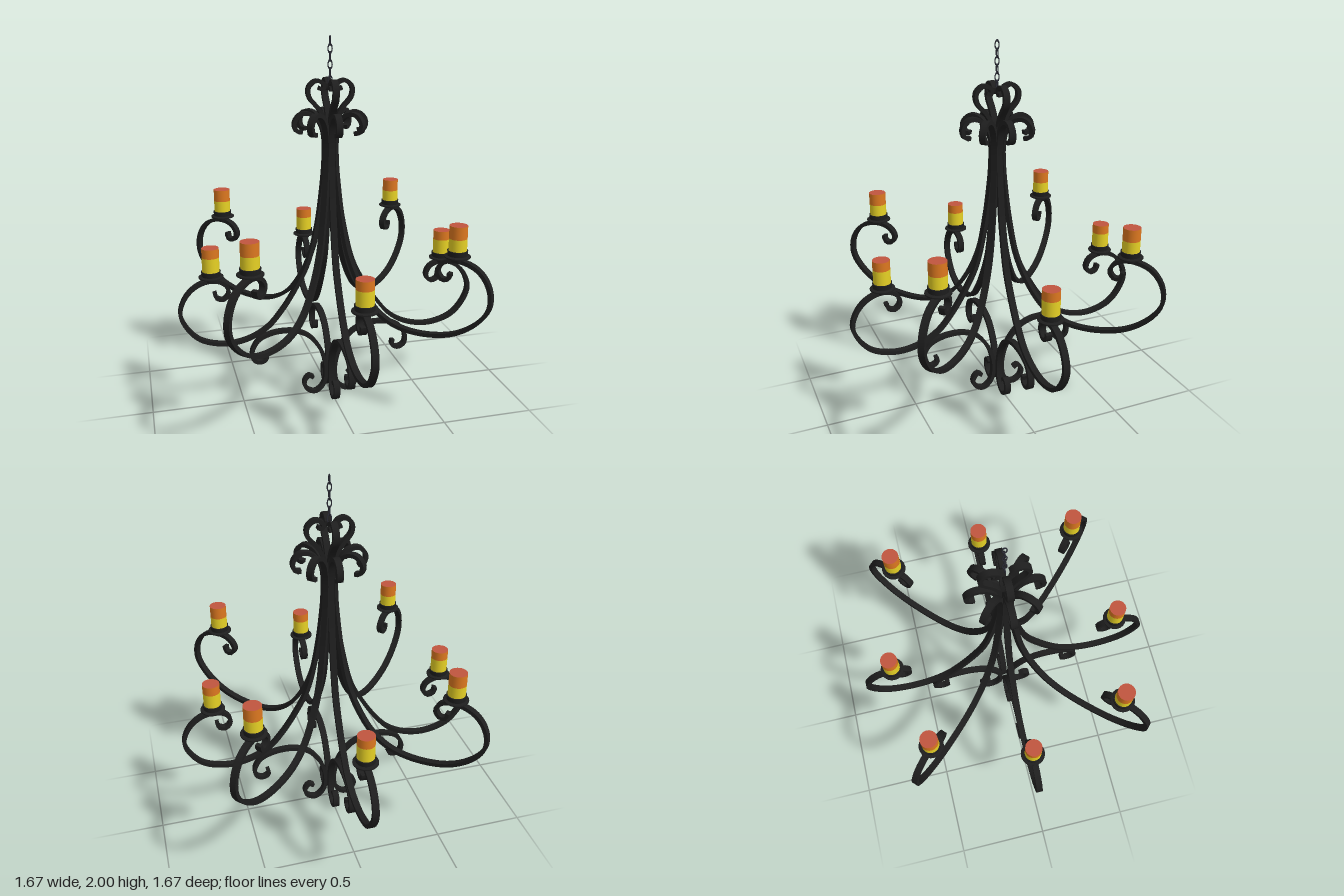
import * as THREE from 'three';
import { toCreasedNormals } from 'three/addons/utils/BufferGeometryUtils.js';

const mat = (name, color) => {
  const m = new THREE.MeshStandardMaterial({ color });
  m.name = name;
  return m;
};

// Profiles as [radius, height] points
const LOWER_ARM = [[.15, 1.51], [.18, 1.515], [.192, 1.56], [.155, 1.604], [.1, 1.598], [.055, 1.55], [.032, 1.47],
  [.03, 1.35], [.043, 1.2], [.075, 1.0], [.127, .79], [.2, .645], [.275, .53], [.355, .44], [.46, .383], [.59, .365],
  [.725, .405], [.8, .49], [.824, .57], [.79, .66], [.725, .717], [.645, .735], [.582, .71], [.563, .66],
  [.592, .625], [.63, .638], [.637, .67]];
const UPPER_ARM = [[.15, 1.51], [.18, 1.515], [.192, 1.56], [.155, 1.604], [.1, 1.598], [.055, 1.55], [.034, 1.47],
  [.034, 1.35], [.045, 1.23], [.07, 1.05], [.11, .86], [.18, .7], [.277, .57], [.39, .503], [.54, .484], [.725, .52],
  [.853, .605], [.915, .7], [.91, .8], [.85, .885], [.745, .92], [.665, .9], [.633, .85], [.66, .81],
  [.695, .818], [.7, .85]];
const HEART = [[.062, 1.735], [.04, 1.727], [.033, 1.752], [.075, 1.772], [.115, 1.74], [.113, 1.69], [.065, 1.63],
  [.032, 1.57], [.021, 1.48], [.02, 1.3]];
const FOOT = [[.1, .1], [.125, .115], [.152, .08], [.14, .036], [.09, .012], [.043, .05], [.026, .13], [.038, .22],
  [.065, .285], [.125, .36], [.2, .397], [.26, .405], [.34, .397], [.41, .365], [.446, .3], [.438, .25],
  [.4, .232], [.367, .25], [.371, .283]];

// Flat iron bar bent along a planar curve
function barGeometry(points, samples, thick = .021, width = .034) {
  const curve = new THREE.CatmullRomCurve3(points.map(([r, y]) => new THREE.Vector3(r, y, 0)));
  const left = [], right = [];
  for (let i = 0; i <= samples; i++) {
    const p = curve.getPointAt(i / samples), t = curve.getTangentAt(i / samples);
    const nx = -t.y * thick / 2, ny = t.x * thick / 2;
    left.push(new THREE.Vector2(p.x + nx, p.y + ny));
    right.unshift(new THREE.Vector2(p.x - nx, p.y - ny));
  }
  const geo = new THREE.ExtrudeGeometry(new THREE.Shape([...left, ...right]), { depth: width, bevelEnabled: false });
  geo.translate(0, 0, -width / 2);
  return toCreasedNormals(geo, .7);
}

export function createModel() {
  const model = new THREE.Group();
  model.name = 'chandelier';
  const iron = mat('blackIron', 0x1e1e1e);
  const chainMetal = mat('chainMetal', 0x2b2c36);
  const yellow = mat('candleYellow', 0xeed826);
  const orange = mat('candleOrange', 0xdd7820);
  const red = mat('candleTopRed', 0xc0553f);

  const add = (parent, name, geo, material, x = 0, y = 0) => {
    const mesh = new THREE.Mesh(geo, material);
    mesh.name = name;
    mesh.position.set(x, y, 0);
    parent.add(mesh);
    return mesh;
  };

  const lowerGeo = barGeometry(LOWER_ARM, 140);
  const upperGeo = barGeometry(UPPER_ARM, 140);
  const heartGeo = barGeometry(HEART, 50);
  const footGeo = barGeometry(FOOT, 80);

  // Drip plate and collar
  const cup = [[0, -.006], [.03, -.004], [.034, .012], [.066, .02], [.066, .026], [.05, .03], [.052, .056], [0, .056]];
  const cupGeo = toCreasedNormals(
    new THREE.LatheGeometry(cup.map(([r, y]) => new THREE.Vector2(r, y)), 24), .6);

  // Two-coloured candle on its cup, top of the arm at height y
  function addCandle(parent, x, y, orangeHeight) {
    const candle = new THREE.Group();
    candle.name = 'candle';
    candle.position.set(x, y, 0);
    parent.add(candle);
    const base = .054, top = .184, split = top - orangeHeight, r = .046;
    add(candle, 'candleCup', cupGeo, iron);
    add(candle, 'candleLower', new THREE.CylinderGeometry(r, r, split - base, 24), yellow, 0, (base + split) / 2);
    add(candle, 'candleUpper', new THREE.CylinderGeometry(r, r, orangeHeight, 24, 1, true), orange, 0, (split + top) / 2);
    add(candle, 'candleTop', new THREE.CircleGeometry(r, 24).rotateX(-Math.PI / 2), red, 0, top);
  }

  // Eight arms, alternating lower and upper; the lower ones share their plane with the scrolls
  for (let i = 0; i < 8; i++) {
    const spoke = new THREE.Group();
    spoke.rotation.y = i * Math.PI / 4;
    model.add(spoke);
    if (i % 2 === 0) {
      spoke.name = 'lowerSpoke';
      add(spoke, 'lowerArm', lowerGeo, iron);
      add(spoke, 'crownScroll', heartGeo, iron);
      add(spoke, 'footScroll', footGeo, iron);
      addCandle(spoke, .652, .735, .05);
    } else {
      spoke.name = 'upperSpoke';
      add(spoke, 'upperArm', upperGeo, iron);
      addCandle(spoke, .735, .92, .066);
    }
  }

  // Hanging chain of alternating links
  const linkGeo = new THREE.TorusGeometry(.011, .003, 6, 14).scale(1, 2, 1);
  for (let i = 0; i < 6; i++) {
    add(model, 'chainLink', linkGeo, chainMetal, 0, 1.972 - i * .04).rotation.y = i % 2 ? 0 : Math.PI / 2;
  }
  return model;
}
